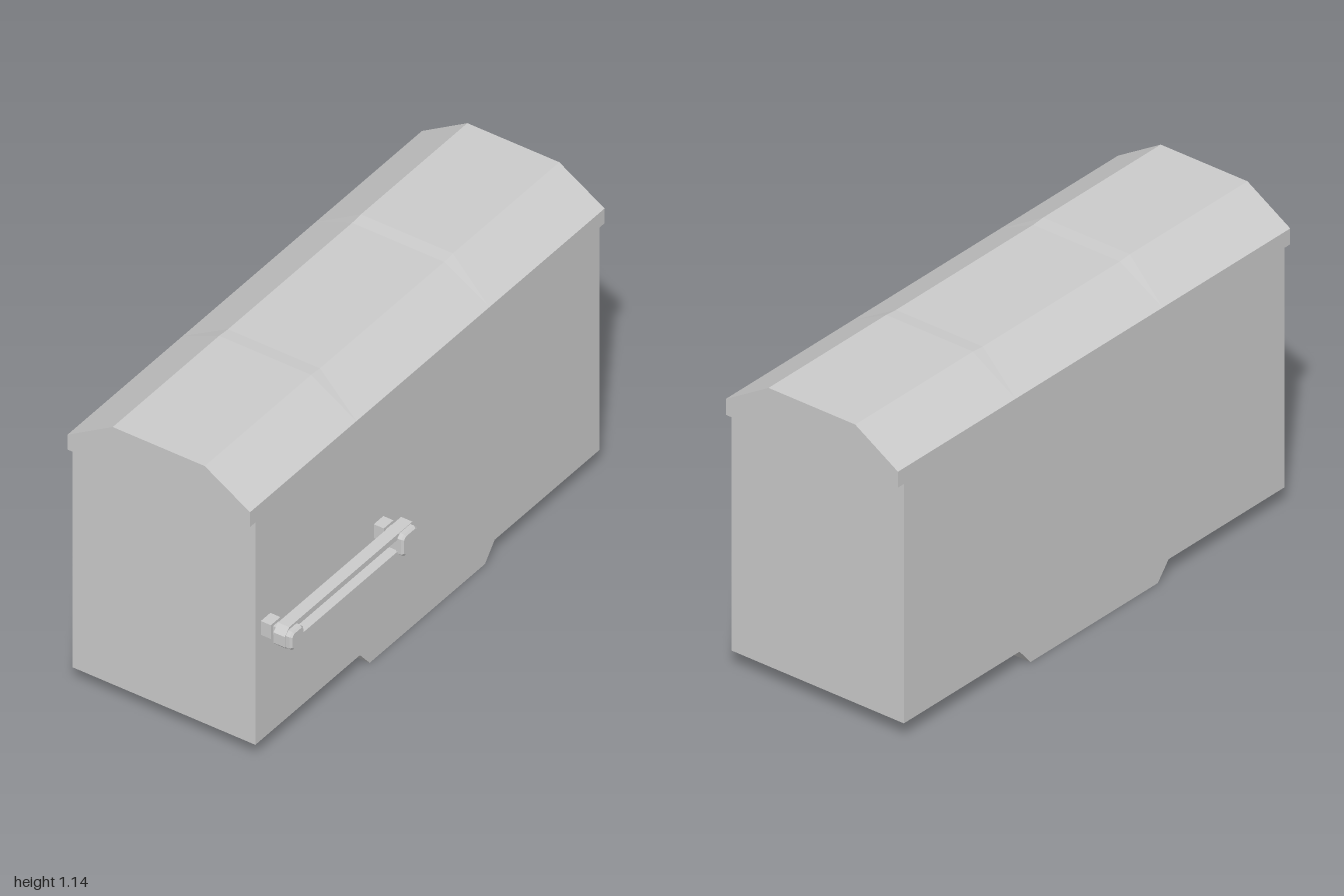
import * as THREE from 'three';

const X0 = -0.43, X1 = 0.295;

export function createModel() {
  const group = new THREE.Group();
  const material = new THREE.MeshStandardMaterial({ color: 0xcccccc, flatShading: true });
  const add = (name, geometry, parent = group) => {
    const mesh = new THREE.Mesh(geometry, material);
    mesh.name = name;
    parent.add(mesh);
    return mesh;
  };
  const outline = (pts) => pts.map(([a, b]) => new THREE.Vector2(a, b));

  // Extrudes a (z, y) profile across x, from x0 to x1
  const extrudeX = (shape, x0, x1, bevel = 0) => {
    const g = new THREE.ExtrudeGeometry(shape, {
      depth: x1 - x0, bevelEnabled: bevel > 0, bevelSize: bevel,
      bevelThickness: bevel, bevelOffset: -bevel, bevelSegments: 1,
    });
    return g.rotateY(-Math.PI / 2).translate(x1, 0, 0);
  };

  // Rectangle with clipped corners in the (z, y) plane
  const clipped = (z0, z1, y0, y1, c0, c1) => outline([
    [z0 + c0, y0], [z1 - c1, y0], [z1, y0 + c1], [z1, y1 - c1],
    [z1 - c1, y1], [z0 + c0, y1], [z0, y1 - c0], [z0, y0 + c0],
  ]);

  // Body with the raised belly underneath
  add('body', extrudeX(new THREE.Shape(outline([
    [-0.97, 0.065], [-0.38, 0.065], [-0.325, 0], [0.325, 0],
    [0.38, 0.065], [0.97, 0.065], [0.97, 0.972], [-0.97, 0.972],
  ])), X0, X1));

  // Roof, sagging very slightly in the middle and overhanging both ends
  const roof = new THREE.ExtrudeGeometry(new THREE.Shape(outline([
    [X0, 0.97], [X1, 0.97], [X1, 1.03], [0.115, 1.14], [-0.25, 1.14], [X0, 1.03],
  ])), { depth: 2, steps: 40, bevelEnabled: false }).translate(0, 0, -1);
  const p = roof.attributes.position;
  for (let i = 0; i < p.count; i++) {
    if (p.getY(i) > 1.1 && Math.abs(p.getZ(i)) < 0.355) p.setY(i, 1.136);
  }
  roof.computeVertexNormals();
  add('roof', roof);

  // Side handle: slotted bar, end caps and wall mounts
  const handle = new THREE.Group();
  handle.name = 'handle';
  group.add(handle);

  const bar = new THREE.Shape(clipped(0.236, 0.96, 0.478, 0.57, 0.004, 0.025));
  bar.holes.push(new THREE.Path(outline([
    [0.32, 0.5], [0.32, 0.548], [0.88, 0.548], [0.88, 0.5],
  ])));
  add('handleBar', extrudeX(bar, 0.36, 0.405), handle);

  for (const [z0, z1, y0, y1, mountZ] of [
    [0.238, 0.325, 0.48, 0.568, 0.275],
    [0.88, 0.955, 0.487, 0.561, 0.912],
  ]) {
    add('handleCap', extrudeX(new THREE.Shape(clipped(z0, z1, y0, y1, 0.014, 0.014)), 0.4, 0.42, 0.007), handle);
    add('wallMount', new THREE.BoxGeometry(0.045, 0.056, 0.054), handle).position.set(0.3125, 0.522, mountZ);
    add('mountNeck', new THREE.BoxGeometry(0.035, 0.035, 0.03), handle).position.set(0.3475, 0.522, mountZ);
  }
  return group;
}
